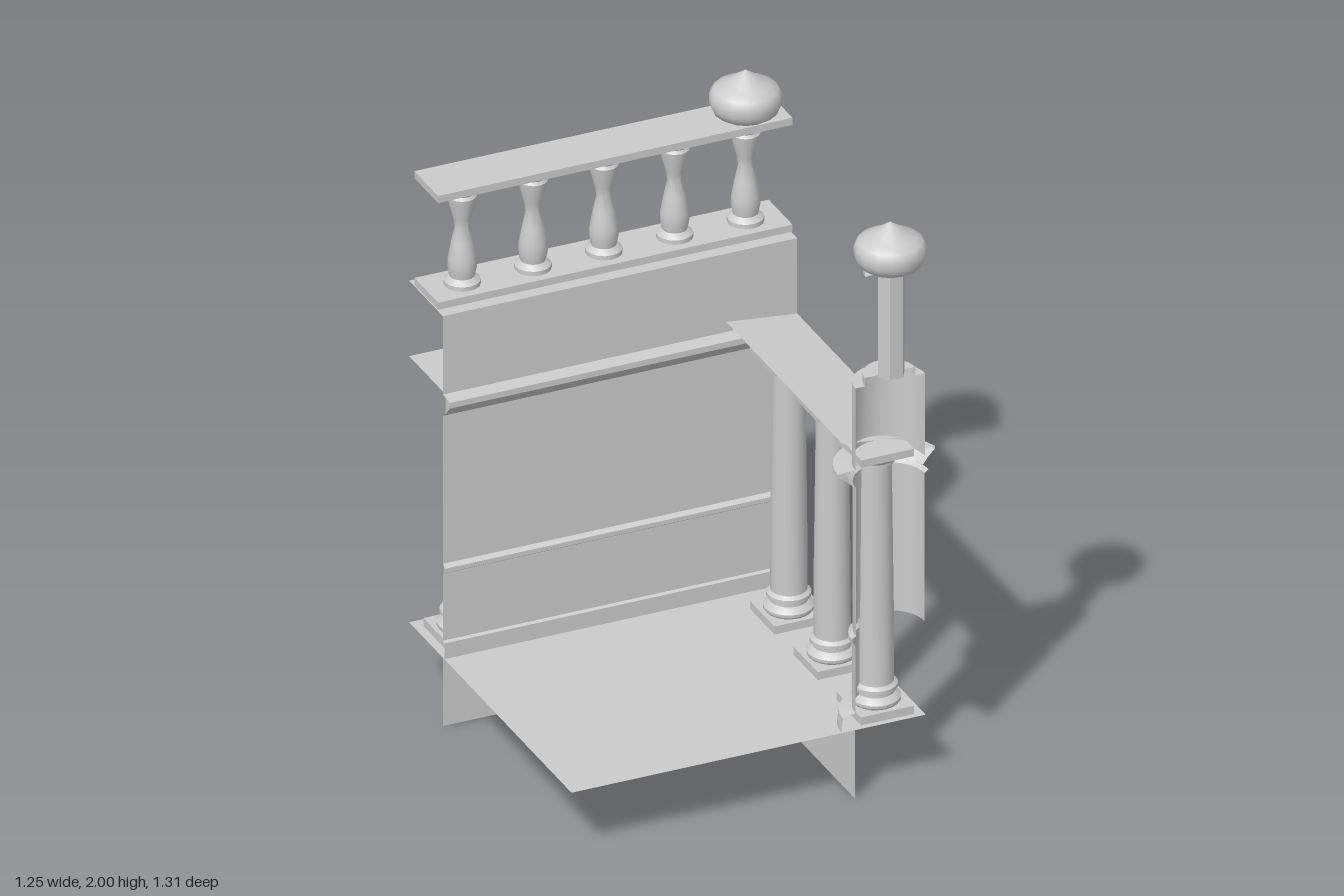
import * as THREE from 'three';
import { toCreasedNormals } from 'three/addons/utils/BufferGeometryUtils.js';

const material = new THREE.MeshStandardMaterial({ color: 0xcccccc, side: THREE.DoubleSide });
const X0 = -0.63, X1 = 0.57, Z0 = -0.66, Z1 = 0.54;
const WALL_Z = -0.41, INNER_X = 0.33, COLUMN_X = 0.45, COLUMN_Z = -0.53, FLOOR_Y = 0.24;

export function createModel() {
  const model = new THREE.Group();

  function add(name, geometry, x = 0, y = 0, z = 0, parent = model) {
    const mesh = new THREE.Mesh(geometry, material);
    mesh.name = name;
    mesh.position.set(x, y, z);
    parent.add(mesh);
    return mesh;
  }

  // Turned part from [radius, height] points, optionally only part of the circle
  function turned(points, segments = 20, start = 0, length = Math.PI * 2) {
    const profile = points.map(([r, y]) => new THREE.Vector2(r, y));
    return toCreasedNormals(new THREE.LatheGeometry(profile, segments, start, length), 0.7);
  }

  // Box given by its limits
  function block(name, x0, x1, y0, y1, z0, z1) {
    return add(name, new THREE.BoxGeometry(x1 - x0, y1 - y0, z1 - z0),
      (x0 + x1) / 2, (y0 + y1) / 2, (z0 + z1) / 2);
  }

  // Open sheet: an outline of [y, z] points carried along x
  function sheet(name, points, x0, x1) {
    const geometry = new THREE.PlaneGeometry(1, 1, 1, points.length - 1);
    const position = geometry.attributes.position;
    for (let i = 0; i < position.count; i++) {
      const [y, z] = points[Math.floor(i / 2)];
      position.setXYZ(i, i % 2 ? x1 : x0, y, z);
    }
    return add(name, toCreasedNormals(geometry, 0.3));
  }

  // Floor with two plinth walls below it
  sheet('floor', [[FLOOR_Y, Z0], [FLOOR_Y, Z1]], X0, X1);
  sheet('plinthBack', [[0, WALL_Z], [FLOOR_Y, WALL_Z]], X0, INNER_X);
  const plinthSide = new THREE.PlaneGeometry(Z1 - WALL_Z, FLOOR_Y).rotateY(Math.PI / 2);
  add('plinthSide', plinthSide, INNER_X, FLOOR_Y / 2, (Z1 + WALL_Z) / 2);

  // Back wall with skirting, chair rail and cornice
  sheet('backWall', [
    [1.44, -0.41], [1.165, -0.41], [1.16, -0.36], [1.14, -0.36], [1.10, -0.395], [1.09, -0.41],
    [0.57, -0.41], [0.56, -0.395], [0.545, -0.395], [0.535, -0.41],
    [0.30, -0.41], [0.295, -0.40], [FLOOR_Y, -0.40],
  ], X0, X1);

  // Roof strips over the colonnade; the side one slopes outward
  sheet('backRoof', [[1.175, Z0], [1.175, WALL_Z]], X0, X1);
  const sideRoof = new THREE.PlaneGeometry(X1 - INNER_X, 0.45 - WALL_Z).rotateX(-Math.PI / 2);
  const roofPoints = sideRoof.attributes.position;
  for (let i = 0; i < roofPoints.count; i++) roofPoints.setY(i, roofPoints.getX(i) < 0 ? 1.2 : 1.175);
  sideRoof.computeVertexNormals();
  add('sideRoof', sideRoof, (X1 + INNER_X) / 2, 0, (0.45 + WALL_Z) / 2);

  // Colonnade along the back and the right side
  const columnGeometry = turned([
    [0.072, 0.265], [0.08, 0.275], [0.08, 0.285], [0.07, 0.295], [0.06, 0.302], [0.06, 0.312],
    [0.07, 0.318], [0.07, 0.33], [0.058, 0.34], [0.057, 0.6], [0.051, 1.09], [0.051, 1.105],
    [0.06, 1.11], [0.06, 1.12], [0.075, 1.13], [0.085, 1.148],
  ], 20);
  const baseGeometry = new THREE.BoxGeometry(0.18, 0.028, 0.18);
  const abacusGeometry = new THREE.BoxGeometry(0.18, 0.026, 0.18);
  function column(x, z) {
    const group = new THREE.Group();
    group.name = 'column';
    group.position.set(x, 0, z);
    add('columnBase', baseGeometry, 0, 0.254, 0, group);
    add('columnShaft', columnGeometry, 0, 0, 0, group);
    add('columnAbacus', abacusGeometry, 0, 1.158, 0, group);
    model.add(group);
  }
  for (let i = 0; i < 4; i++) column(COLUMN_X - i * 0.32, COLUMN_Z);
  for (let i = 1; i < 4; i++) column(COLUMN_X, COLUMN_Z + i * 0.32);

  // Balustrade along the top of the back wall
  sheet('balustradeSoffit', [[1.44, Z0], [1.44, WALL_Z]], X0, X1);
  block('bottomRail', X0, X1, 1.445, 1.47, -0.62, -0.445);
  block('topRail', X0, X1, 1.82, 1.845, -0.62, -0.445);
  const balusterGeometry = turned([
    [0.058, 1.47], [0.058, 1.485], [0.04, 1.5], [0.046, 1.53], [0.045, 1.56], [0.034, 1.62],
    [0.023, 1.67], [0.028, 1.7], [0.045, 1.765], [0.047, 1.78], [0.04, 1.79], [0.052, 1.805],
    [0.052, 1.82],
  ], 16);
  for (let i = 0; i < 5; i++) add('baluster', balusterGeometry, COLUMN_X - i * 0.24, 0, COLUMN_Z);

  // Small block behind the back columns
  block('wallBlock', -0.09, 0.02, 0.55, 0.66, -0.65, -0.59);

  // Corner turret, cut open at the front
  const half = [Math.PI / 2, Math.PI];
  add('turretFoot', turned([
    [0.165, FLOOR_Y], [0.16, 0.29], [0.118, 0.3], [0.118, 0.535], [0.13, 0.545],
    [0.13, 0.56], [0.116, 0.57],
  ], 8, Math.PI, Math.PI / 2), COLUMN_X, 0, Z1);
  add('turretWall', turned([[0.116, 0.57], [0.116, 1.09], [0.13, 1.10]], 16, ...half), COLUMN_X, 0, Z1);
  add('turretCornice', turned([
    [0.13, 1.10], [0.15, 1.12], [0.178, 1.14], [0.178, 1.15], [0.12, 1.155],
  ], 14, Math.PI / 2 + 0.26, Math.PI - 0.26), COLUMN_X, 0, Z1);
  add('turretDrum', turned([
    [0.118, 1.15], [0.118, 1.44], [0.085, 1.44], [0.085, 1.47], [0, 1.47],
  ], 16, ...half), COLUMN_X, 0, Z1);
  add('turretPost', turned([[0.045, 1.47], [0.045, 1.83]], 6, Math.PI / 2), COLUMN_X, 0, Z1 + 0.007);
  add('turretCollar', turned([
    [0, 1.825], [0.085, 1.825], [0.085, 1.845], [0, 1.845],
  ], 12, ...half), COLUMN_X, 0, Z1);

  // Pointed finials on the turret and the back corner
  const finialGeometry = turned([
    [0, 1.845], [0.08, 1.845], [0.102, 1.86], [0.113, 1.885], [0.113, 1.915], [0.102, 1.935],
    [0.078, 1.947], [0.05, 1.965], [0, 2],
  ], 16);
  for (const z of [COLUMN_Z, Z1]) add('finial', finialGeometry, COLUMN_X, 0, z);

  return model;
}
